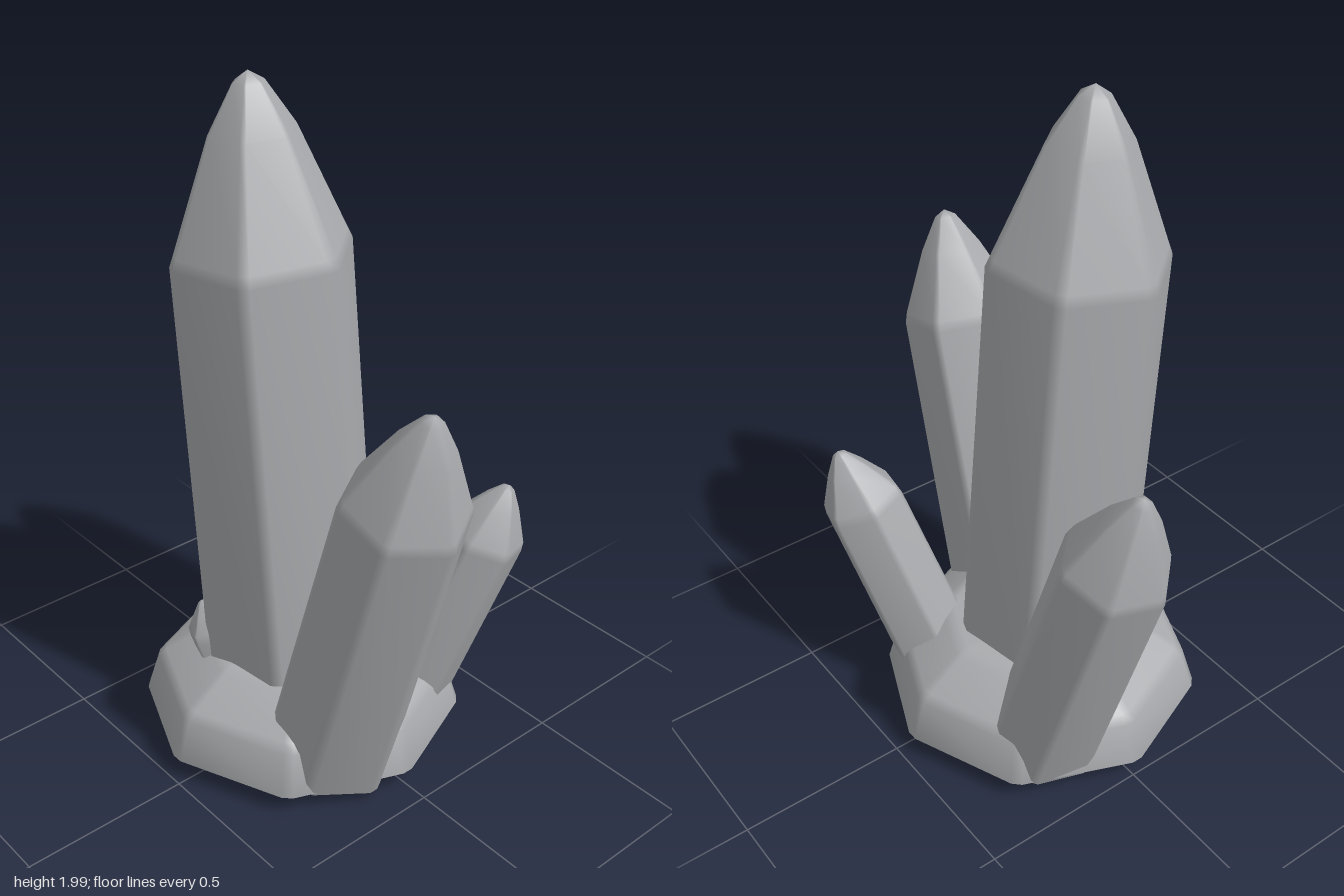
import * as THREE from 'three';

const stone = new THREE.MeshStandardMaterial({ color: 0xa9abae });
stone.name = 'greyStone';

// Skin closed loops of points (bottom to top), capped to a point at both ends
function skin(loops, bottom, top) {
  const n = loops[0].length;
  const pos = [bottom, ...loops.flat(), top].flatMap(p => [p.x, p.y, p.z]);
  const last = loops.length * n + 1;
  const at = (i, j) => 1 + i * n + (j % n);
  const index = [];
  for (let j = 0; j < n; j++) {
    index.push(0, at(0, j), at(0, j + 1));
    for (let i = 0; i < loops.length - 1; i++) {
      index.push(at(i, j), at(i + 1, j), at(i + 1, j + 1));
      index.push(at(i, j), at(i + 1, j + 1), at(i, j + 1));
    }
    index.push(at(loops.length - 1, j), last, at(loops.length - 1, j + 1));
  }
  const geo = new THREE.BufferGeometry();
  geo.setAttribute('position', new THREE.Float32BufferAttribute(pos, 3));
  geo.setIndex(index);
  geo.computeVertexNormals();
  return geo;
}

// Polygon ring with each corner softened into two points
function ring(r, y, sides, phase, bevel) {
  const pts = [];
  for (let k = 0; k < sides; k++) {
    for (const s of [-1, 1]) {
      const a = THREE.MathUtils.degToRad(phase + k * 360 / sides + s * bevel);
      pts.push(new THREE.Vector3(Math.cos(a) * r, y, Math.sin(a) * r));
    }
  }
  return pts;
}

// Six-sided shaft with a faceted, rounded point, leaning from foot to apex
function crystal({ name, foot, apex, tip, footR, r, phase, mid = [0.64, 0.49] }) {
  const a = new THREE.Vector3(...foot), b = new THREE.Vector3(...apex);
  const len = a.distanceTo(b), shoulder = len - tip;
  const profile = [
    [footR * 0.8, 0], [footR, 0.03], [r, shoulder - 0.01], [r * 0.95, shoulder + 0.02],
    [r * mid[1], shoulder + tip * mid[0]], [r * 0.17, len - tip * 0.06],
  ];
  const loops = profile.map(([rad, y]) => ring(rad, y, 6, phase, 4));
  const mesh = new THREE.Mesh(
    skin(loops, new THREE.Vector3(0, 0, 0), new THREE.Vector3(0, len, 0)), stone);
  mesh.name = name;
  mesh.position.copy(a);
  mesh.quaternion.setFromUnitVectors(new THREE.Vector3(0, 1, 0), b.sub(a).normalize());
  return mesh;
}

export function createModel() {
  const group = new THREE.Group();
  group.name = 'crystalCluster';

  // Eight-sided rock the crystals grow from
  const rockProfile = [[0.45, 0.06], [0.472, 0.068], [0.435, 0.19], [0.41, 0.215], [0.3, 0.29], [0.26, 0.305]];
  const rock = new THREE.Mesh(
    skin(rockProfile.map(([r, y]) => ring(r, y, 8, 90, 2)),
      new THREE.Vector3(0, 0.06, 0), new THREE.Vector3(0, 0.32, 0)), stone);
  rock.name = 'rockBase';
  rock.position.set(-0.033, 0, 0.008);
  group.add(rock);

  const crystals = [
    { name: 'mainCrystal', foot: [-0.035, 0.05, 0.02], apex: [-0.11, 2, 0.11],
      tip: 0.47, footR: 0.262, r: 0.247, phase: -10, mid: [0.68, 0.47] },
    { name: 'leftCrystal', foot: [0.22, 0.065, 0.115], apex: [0.61, 1.345, 0.14],
      tip: 0.31, footR: 0.192, r: 0.175, phase: 0 },
    { name: 'rightCrystal', foot: [-0.27, 0.065, -0.165], apex: [-0.625, 1.19, -0.13],
      tip: 0.28, footR: 0.165, r: 0.155, phase: 165 },
    { name: 'backCrystal', foot: [0.165, 0.045, -0.205], apex: [0.385, 0.84, -0.4],
      tip: 0.18, footR: 0.128, r: 0.12, phase: -48 },
    { name: 'smallFrontCrystal', foot: [-0.085, 0.03, 0.15], apex: [-0.2, 0.43, 0.25],
      tip: 0.1, footR: 0.085, r: 0.08, phase: 20 },
  ];
  for (const c of crystals) group.add(crystal(c));
  return group;
}
